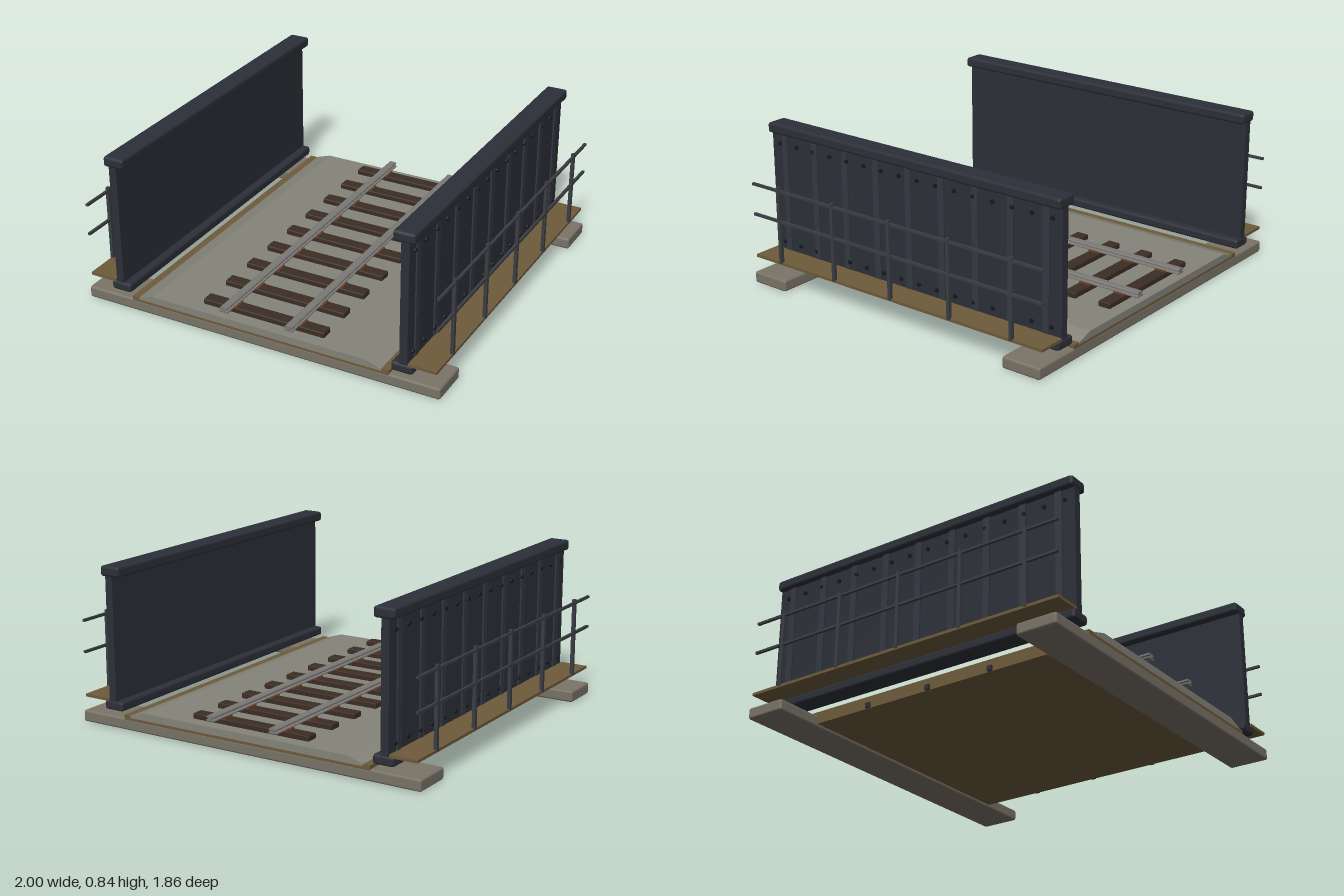
import * as THREE from 'three';
import { RoundedBoxGeometry } from 'three/addons/geometries/RoundedBoxGeometry.js';

const LENGTH = 1.86;
const mat = (color) => new THREE.MeshStandardMaterial({ color });

const concrete = mat(0x7a7468);
const planks = mat(0x6e5b3b);
const gravel = mat(0x85847a);
const steel = mat(0x2d3039);
const stiffSteel = mat(0x343842);
const boltSteel = mat(0x17191d);
const railingSteel = mat(0x3a3d42);
const timber = mat(0x3b2d24);
const railSteel = mat(0x7b7976);
const rust = mat(0x6e4028);

function add(parent, name, geometry, material, x = 0, y = 0, z = 0) {
  const mesh = new THREE.Mesh(geometry, material);
  mesh.name = name;
  mesh.position.set(x, y, z);
  parent.add(mesh);
  return mesh;
}

// Box given by its extents; a bevel gives it chamfered edges
function box(parent, name, material, [x0, x1], [y0, y1], [z0, z1], bevel = 0) {
  const size = [x1 - x0, y1 - y0, z1 - z0];
  const geometry = bevel
    ? new RoundedBoxGeometry(...size, 1, bevel)
    : new THREE.BoxGeometry(...size);
  return add(parent, name, geometry, material, (x0 + x1) / 2, (y0 + y1) / 2, (z0 + z1) / 2);
}

// Constant cross-section in x and y, extruded along z
function prism(parent, name, material, points, length) {
  const shape = new THREE.Shape(points.map(([x, y]) => new THREE.Vector2(x, y)));
  const geometry = new THREE.ExtrudeGeometry(shape, { depth: length, bevelEnabled: false });
  geometry.translate(0, 0, -length / 2);
  return add(parent, name, geometry, material);
}

const around = (centre, width) => [centre - width / 2, centre + width / 2];

// One plate girder with its walkway and railing; side is +1 or -1 in x
function buildSide(name, side) {
  const group = new THREE.Group();
  group.name = name;
  const full = around(0, LENGTH);
  const span = (a, b) => (side > 0 ? [a, b] : [-b, -a]);

  box(group, 'girderWeb', steel, span(0.783, 0.825), [0.12, 0.8], around(0, LENGTH - 0.01));
  box(group, 'topFlange', steel, span(0.74, 0.855), [0.785, 0.84], full, 0.014);
  box(group, 'bottomFlange', steel, span(0.74, 0.855), [0.09, 0.14], full, 0.014);

  // Stiffeners on the outer face
  for (let i = -4; i <= 4; i++) {
    box(group, 'stiffener', stiffSteel, span(0.82, 0.833), [0.13, 0.79], around(i * 0.209, 0.038));
  }
  // Two rows of bolts
  const bolt = new THREE.CylinderGeometry(0.011, 0.011, 0.016, 8).rotateZ(Math.PI / 2);
  for (const y of [0.19, 0.73]) {
    for (let i = 0; i < 16; i++) {
      add(group, 'bolt', bolt, boltSteel, side * 0.826, y, (i - 7.5) * 0.116);
    }
  }

  // Walkway and railing
  box(group, 'walkway', planks, span(0.83, 0.98), [0.137, 0.152], full);
  for (let i = -2; i <= 2; i++) {
    box(group, 'railingPost', railingSteel, span(0.967, 0.985), [0.145, 0.56], around(i * 0.374, 0.018));
  }
  for (const y of [0.375, 0.54]) {
    box(group, 'handrail', railingSteel, span(0.969, 0.983), around(y, 0.013), full);
  }
  return group;
}

function buildTrack() {
  const track = new THREE.Group();
  track.name = 'track';
  // Sleepers with a rusty plate under each rail
  for (let i = -4; i <= 4; i++) {
    const z = i * 0.2065;
    box(track, 'sleeper', timber, [-0.345, 0.345], [0.104, 0.136], around(z, 0.07), 0.007);
    for (const x of [-0.185, 0.185]) {
      box(track, 'tiePlate', rust, around(x, 0.07), [0.134, 0.142], around(z, 0.064));
    }
  }
  // Rails with foot, web and head
  for (const x of [-0.185, 0.185]) {
    const half = [[0.024, 0.138], [0.024, 0.144], [0.01, 0.147], [0.01, 0.152], [0.021, 0.154], [0.021, 0.161], [0.015, 0.166]];
    const left = half.map(([w, y]) => [-w, y]).reverse();
    prism(track, 'rail', railSteel, [...half, ...left], LENGTH).position.x = x;
  }
  return track;
}

export function createModel() {
  const bridge = new THREE.Group();
  bridge.name = 'railwayBridge';

  // Abutments at both ends
  for (const z of [-0.82, 0.82]) {
    box(bridge, 'abutment', concrete, [-1, 1], [0, 0.062], around(z, 0.22), 0.012);
  }

  // Deck, cross beams and ballast bed
  box(bridge, 'deck', planks, [-0.73, 0.73], [0.016, 0.08], around(0, LENGTH - 0.004));
  for (const z of [-0.374, 0, 0.374]) {
    box(bridge, 'crossBeam', steel, [-0.742, 0.742], [0.018, 0.044], around(z, 0.026));
  }
  prism(bridge, 'ballast', gravel,
    [[-0.69, 0.07], [0.69, 0.07], [0.69, 0.08], [0.605, 0.108], [-0.605, 0.108], [-0.69, 0.08]], LENGTH);

  bridge.add(buildTrack(), buildSide('leftGirder', 1), buildSide('rightGirder', -1));
  return bridge;
}
